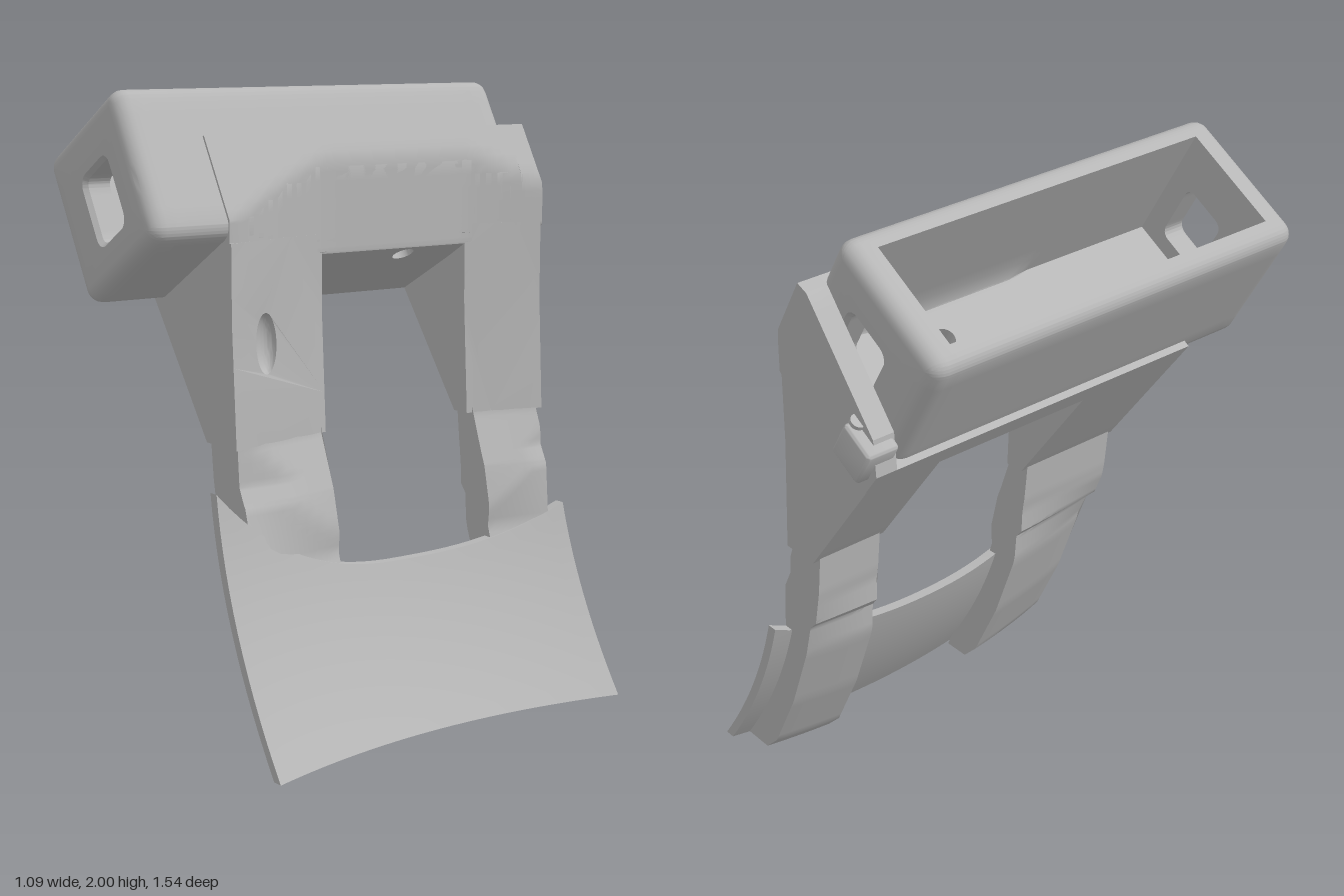
import * as THREE from 'three';
import { toCreasedNormals } from 'three/addons/utils/BufferGeometryUtils.js';
import { RoundedBoxGeometry } from 'three/addons/geometries/RoundedBoxGeometry.js';

const TILT = Math.PI / 6, CX = -0.22, CY = 1.675, H = 0.2545, R = 0.05;
const FLOOR = -0.1875, UNDER = -0.2825;
const grey = new THREE.MeshStandardMaterial({ color: 0xb6b6b6 });
grey.name = 'satin grey';

// Tilted tray coordinates to x, y
const uv = (u, v) => [CX + u * Math.cos(TILT) - v * Math.sin(TILT), CY + u * Math.sin(TILT) + v * Math.cos(TILT)];
const toShape = (pts) => new THREE.Shape(pts.map(([x, y]) => new THREE.Vector2(x, y)));

// Split every edge of a closed outline into k pieces
const densify = (pts, k = 8) => pts.flatMap(([x, y], i) => {
  const [x2, y2] = pts[(i + 1) % pts.length];
  return Array.from({ length: k }, (_, j) => [x + (x2 - x) * j / k, y + (y2 - y) * j / k]);
});

function part(parent, name, geometry) {
  const mesh = new THREE.Mesh(toCreasedNormals(geometry, 0.6), grey);
  mesh.name = name;
  parent.add(mesh);
  return mesh;
}

// Outline in x, y pulled along z
function prism(pts, z0, z1, steps) {
  const g = new THREE.ExtrudeGeometry(toShape(densify(pts)), { depth: z1 - z0, steps, bevelEnabled: false });
  return g.translate(0, 0, z0);
}

// Move every vertex by a rule
function bend(geometry, rule) {
  const p = geometry.attributes.position, v = new THREE.Vector3();
  for (let i = 0; i < p.count; i++) {
    rule(v.fromBufferAttribute(p, i));
    p.setXYZ(i, v.x, v.y, v.z);
  }
  return geometry;
}

// Hollow face on the pad side: flat in the middle, rising towards both ends
function cuff(z, y) {
  const a = Math.max(0, z - 0.11, -0.46 - z);
  return 0.018 + 0.19 * a + 0.18 * a * a + 0.02 * Math.max(0, (1.3 - y) / 0.38) + 0.35 * Math.max(0, 0.92 - y);
}
const trim = (geometry, gap = 0) => bend(geometry, (p) => { p.x = Math.min(p.x, cuff(p.z, p.y) - gap); });

// Rounded rectangle, anticlockwise from the top left corner
function roundRect(hw, hh, r, ox = 0, oy = 0) {
  const pts = [];
  [[-1, 1], [-1, -1], [1, -1], [1, 1]].forEach(([sx, sy], k) => {
    for (let i = 0; i <= 5; i++) {
      const a = (k + 1 + i / 5) * Math.PI / 2;
      pts.push([ox + sx * (hw - r) + r * Math.cos(a), oy + sy * (hh - r) + r * Math.sin(a)]);
    }
  });
  return pts;
}

// End wall with rounded outer edge and a window through it
function endWall(zIn, zOut) {
  const dir = Math.sign(zOut - zIn), rings = [];
  const ring = (pts, z) => rings.push(densify(pts).map(([u, v]) => [...uv(u, v), z]));
  ring(roundRect(H, H, R), zIn);
  for (let i = 0; i <= 5; i++) {
    const a = i / 5 * Math.PI / 2, inset = R * (1 - Math.cos(a));
    ring(roundRect(H - inset, H - inset, Math.max(R - inset, 0.004)), zOut - dir * R * (1 - Math.sin(a)));
  }
  ring(roundRect(0.097, 0.122, 0.04, 0.02, -0.02), zOut);
  ring(roundRect(0.085, 0.11, 0.03, 0.02, -0.02), zOut - dir * 0.015);
  ring(roundRect(0.085, 0.11, 0.03, 0.02, -0.02), zIn);
  const n = rings[0].length, m = rings.length, index = [];
  for (let i = 0; i < m; i++) for (let j = 0; j < n; j++) {
    const k = (j + 1) % n, o = (i + 1) % m;
    const a = i * n + j, b = i * n + k, c = o * n + k, d = o * n + j;
    index.push(...(dir > 0 ? [a, b, c, a, c, d] : [a, c, b, a, d, c]));
  }
  const g = new THREE.BufferGeometry();
  g.setAttribute('position', new THREE.Float32BufferAttribute(rings.flat(2), 3));
  g.setIndex(index);
  g.computeVertexNormals();
  return g;
}

// Strip of tray floor between two depths, with an optional screw hole
function floorStrip(z0, z1, bottom, holeZ) {
  const shape = toShape([[0.01, -z1], [0.11, -z1], [0.11, -z0], [0.01, -z0]]);
  if (holeZ !== undefined) shape.holes.push(new THREE.Path().absarc(0.06, -holeZ, 0.036, 0, Math.PI * 2, true));
  const g = new THREE.ExtrudeGeometry(shape, { depth: FLOOR - bottom, bevelEnabled: false, curveSegments: 16 });
  return g.rotateX(-Math.PI / 2).translate(0, bottom, 0).rotateZ(TILT).translate(CX, CY, 0);
}

// Curve of the lower pad: slope by height, hollow by depth, top edge
const slope = (y) => 0.545 - 0.71 * y + 0.355 * y * y;
const hollow = (z) => -0.14 + 0.14 * (z + 0.2) ** 2 / 0.672;
const topEdge = (z) => 0.49 + (z > -0.15 ? 0.32 : 0.19) * (Math.abs(z + 0.15) / 0.77) ** 2.5;

export function createModel() {
  const model = new THREE.Group();
  model.name = 'holder';

  // Open tray, its lower edge trimmed by the hollow face
  const tray = new THREE.Group();
  tray.name = 'tray';
  model.add(tray);
  const outer = roundRect(H, H, R);
  const rightWall = [[0.11, -H], ...outer.slice(12), [0.18, H], [0.18, FLOOR], [0.11, FLOOR]];
  const leftWall = [[-0.18, H], ...outer.slice(0, 12), [0.01, -H], [0.01, FLOOR], [-0.18, FLOOR]];
  part(tray, 'trayRightWall', trim(prism(rightWall.map((p) => uv(...p)), -0.57, 0.68, 30)));
  part(tray, 'trayLeftWall', prism(leftWall.map((p) => uv(...p)), -0.57, 0.68, 1));
  part(tray, 'trayFrontWall', endWall(0.68, 0.77));
  part(tray, 'trayBackWall', trim(endWall(-0.57, -0.66)));
  part(tray, 'trayFloor', floorStrip(-0.665, 0.51, UNDER, -0.24));
  part(tray, 'trayFloorFront', floorStrip(0.51, 0.69, -H));

  // Bracket sheet around the lower edges of the tray
  const shoulder = [uv(0.22, UNDER), [0.115, 1.619], uv(0.262, 0.07)];
  const lip = [[-0.37, 1.38], [-0.315, 1.305]];
  const upperSheet = [uv(0.11, UNDER), ...shoulder, uv(0.22, 0.07), uv(0.22, -0.22), uv(0.11, -0.22)];
  part(model, 'bracketUpperSheet', trim(prism(upperSheet, -0.665, 0.51, 28)));
  part(model, 'bracketLowerSheet', prism([...lip, uv(0.01, UNDER), uv(0.01, -0.22), uv(-0.22, -0.22), uv(-0.23, -0.18)], -0.665, 0.51, 1));
  part(model, 'bracketBackPlate', trim(prism([...lip, ...shoulder, [-0.07, 1.85], [-0.36, 1.5]], -0.735, -0.66, 2)));

  // Clip on the back plate
  const clip = part(model, 'clip', new RoundedBoxGeometry(0.135, 0.135, 0.115, 3, 0.015));
  clip.position.set(-0.3, 1.442, -0.7175);
  clip.rotation.z = TILT;
  const pin = part(model, 'clipPin', new THREE.CylinderGeometry(0.025, 0.025, 0.06, 16));
  pin.position.set(...uv(-0.135, -0.11), -0.735);
  pin.rotation.z = TILT;

  // Tapered supports, their hollow facing, and the legs below them
  const wedge = [[-0.37, 1.38], [-0.045, 0.94], [-0.03, 0.92], [0.13, 0.92], [0.13, 1.53], [0, 1.48], [-0.3, 1.33]];
  const leg = [[-0.04, 0.94], [-0.025, 0.8], [0, 0.67], [0.03, 0.64], [0.06, 0.52], [0.15, 0.28], [0.26, 0.06], [0.32, 0],
    [0.44, 0], [0.33, 0.17], [0.23, 0.37], [0.17, 0.55], [0.155, 0.74], [0.125, 0.8], [0.115, 0.94]];
  const sides = [['front', 0.11, 0.51, 0.13, 0.49], ['back', -0.73, -0.46, -0.71, -0.48]];
  for (const [side, w0, w1, l0, l1] of sides) {
    part(model, side + 'Support', trim(prism(wedge, w0, w1, 8), 0.045));
    const outline = [[-w1, 0.92], [-w0, 0.92], [-w0, 1.3], [-w0, 1.55], [-w1, 1.55], [-w1, 1.3]];
    const facing = toShape(densify(outline, 3));
    if (side === 'front') facing.holes.push(new THREE.Path().absellipse(-0.36, 1.23, 0.045, 0.095, 0, Math.PI * 2, true));
    const plate = new THREE.ExtrudeGeometry(facing, { depth: 0.05, bevelEnabled: false, curveSegments: 24 });
    part(model, side + 'Facing', bend(plate.rotateY(Math.PI / 2), (p) => { p.x += cuff(p.z, p.y) - 0.05; }));
    part(model, side + 'Leg', bend(trim(prism(leg, l0, l1, 8)), (p) => {
      p.x += (hollow(p.z) + 0.086) * THREE.MathUtils.clamp((0.75 - p.y) / 0.2, 0, 1);
    }));
  }

  // Oval dish sunk into the front facing
  const dish = new THREE.SphereGeometry(1, 24, 16, Math.PI / 2, Math.PI);
  dish.scale(-0.044, 0.095, 0.045).translate(0, 1.23, 0.36);
  part(model, 'ovalDish', bend(dish, (p) => { p.x += cuff(p.z, p.y); }));

  // Curved lower pad
  part(model, 'pad', bend(new THREE.BoxGeometry(1, 1, 1, 1, 14, 28), (p) => {
    p.z = -0.075 + p.z * 1.39;
    p.y = (p.y + 0.5) * topEdge(p.z);
    p.x = slope(p.y) + hollow(p.z) - (p.x > 0 ? 0 : 0.035);
  }));

  return model;
}
